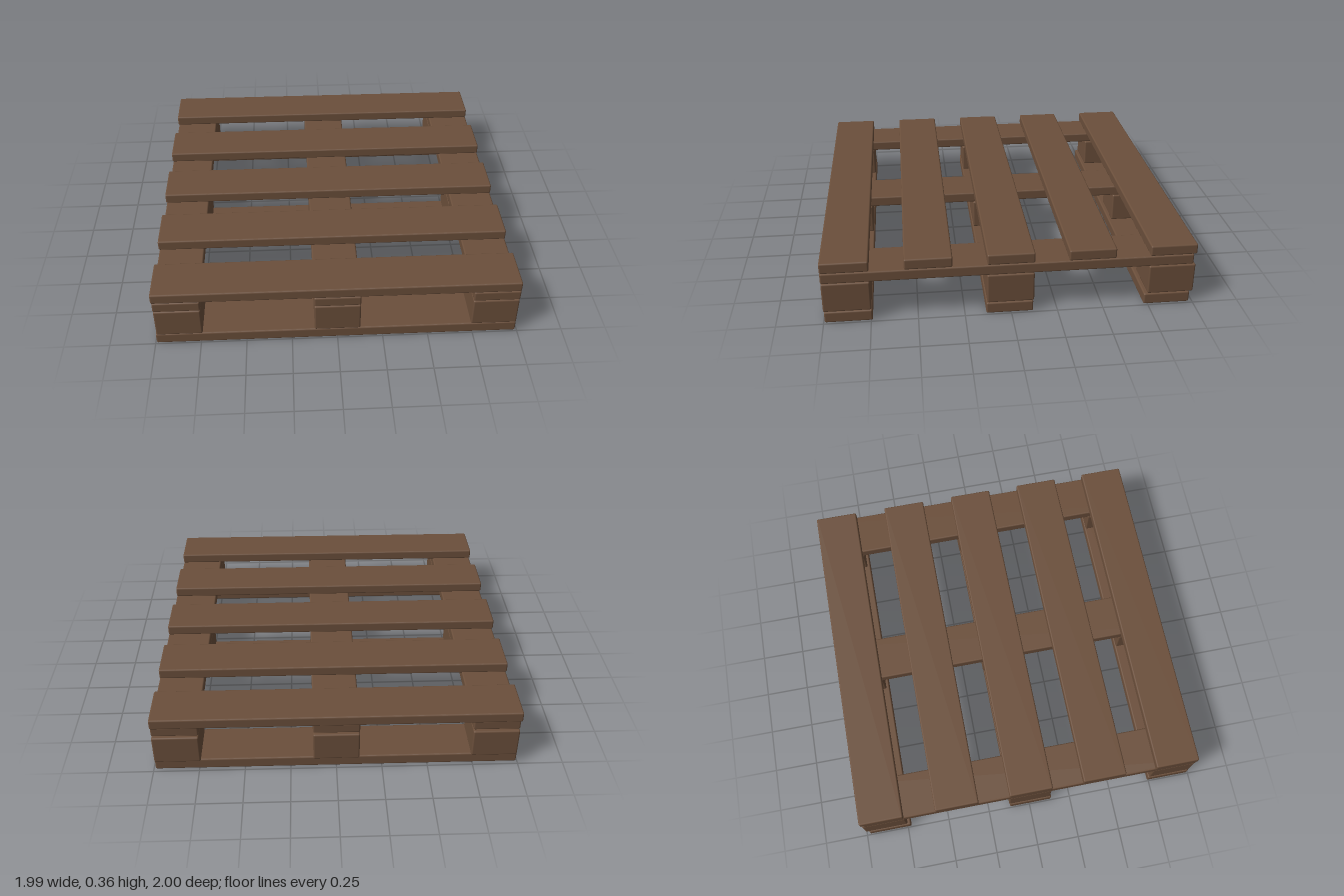
import * as THREE from 'three';
import { RoundedBoxGeometry } from 'three/addons/geometries/RoundedBoxGeometry.js';

export function createModel() {
  const pallet = new THREE.Group();
  pallet.name = 'pallet';
  const wood = new THREE.MeshStandardMaterial({ color: 0x6b4f3b });
  wood.name = 'brown wood';

  // One timber with slightly eased edges, placed by its centre
  function timber(name, [w, h, d], x, y, z) {
    const mesh = new THREE.Mesh(new RoundedBoxGeometry(w, h, d, 2, 0.009), wood);
    mesh.name = name;
    mesh.position.set(x, y, z);
    pallet.add(mesh);
  }

  const width = 0.254;
  const columns = [-0.863, 0, 0.863];

  // Five deck boards across the top
  for (const z of [-0.873, -0.434, 0.002, 0.438, 0.873]) {
    timber('deckBoard', [1.985, 0.06, width], -0.002, 0.329, z);
  }

  // Three stringer boards running front to back
  for (const x of columns) {
    timber('stringerBoard', [width, 0.06, 1.985], x, 0.268, 0.007);
  }

  // Nine spacer blocks
  for (const x of columns) {
    for (const z of [-0.872, 0.003, 0.872]) {
      timber('spacerBlock', [0.252, 0.17, width], x, 0.15, z);
    }
  }

  // Three bottom boards, set slightly off the blocks
  for (const z of [-0.854, 0.008, 0.868]) {
    timber('bottomBoard', [1.985, 0.064, width], -0.002, 0.032, z);
  }

  return pallet;
}
